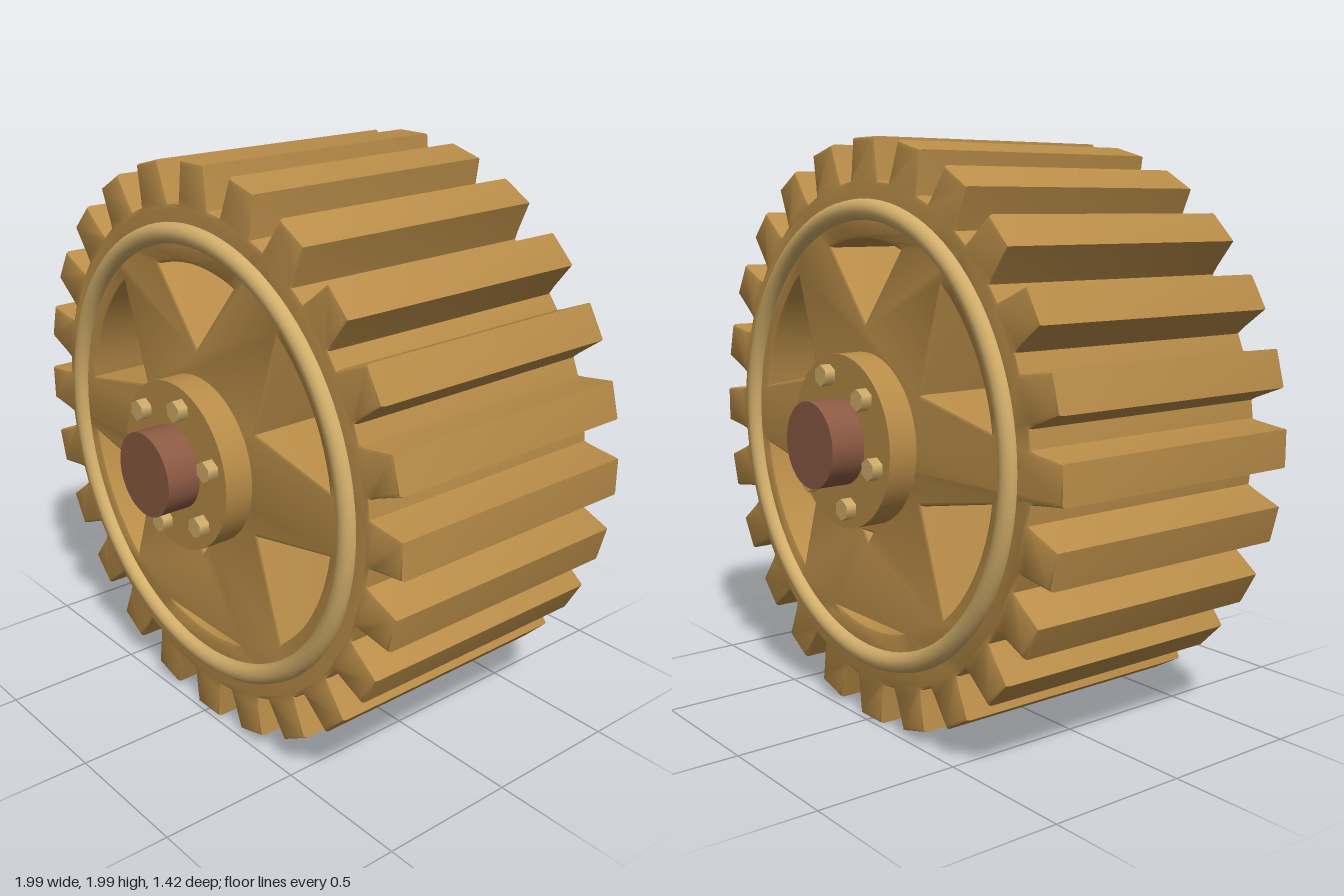
import * as THREE from 'three';
import { toCreasedNormals } from 'three/addons/utils/BufferGeometryUtils.js';

const HALF = 0.485; // half the gear's width
const TEETH = 24;

const material = (color) => new THREE.MeshStandardMaterial({ color });
const polar = (r, a) => new THREE.Vector2(r * Math.cos(a), r * Math.sin(a));

function add(parent, name, geometry, mat) {
  const mesh = new THREE.Mesh(geometry, mat);
  mesh.name = name;
  parent.add(mesh);
  return mesh;
}

// Closed outline with one trapezoid tooth per step
function gearOutline() {
  const points = [];
  for (let i = 0; i < TEETH; i++) {
    const a = (i / TEETH) * Math.PI * 2;
    points.push(polar(0.858, a - 0.096), polar(0.885, a - 0.087), polar(0.997, a - 0.064),
      polar(0.997, a + 0.064), polar(0.885, a + 0.087), polar(0.858, a + 0.096));
  }
  return points;
}

// Arc at radius r, spanning the given half width about an angle
function arcPoints(r, halfWidth, angle, steps = 12) {
  const span = Math.asin(halfWidth / r);
  return Array.from({ length: steps + 1 }, (_, i) => polar(r, angle - span + (2 * span * i) / steps));
}

// Window between two spokes: a point near the hub and an arc at the rim
function spokeWindow(angle, apex, halfWidth, r) {
  return new THREE.Path([polar(apex, angle), ...arcPoints(r, halfWidth, angle)]);
}

function gearBody() {
  const shape = new THREE.Shape(gearOutline());
  for (const degrees of [-30, 30, 150, 210]) {
    shape.holes.push(spokeWindow(THREE.MathUtils.degToRad(degrees), 0.362, 0.24, 0.68));
  }
  shape.holes.push(spokeWindow(Math.PI / 2, 0.39, 0.205, 0.665));
  // The bottom bay is closed apart from a slot at the rim and a notch by the hub
  shape.holes.push(new THREE.Path(arcPoints(0.665, 0.2, -Math.PI / 2)));
  shape.holes.push(new THREE.Path([
    new THREE.Vector2(-0.025, -0.325), new THREE.Vector2(0, -0.355), new THREE.Vector2(0.025, -0.325)]));
  const bevel = 0.014;
  const geometry = new THREE.ExtrudeGeometry(shape, {
    depth: 2 * (HALF - bevel), bevelThickness: bevel, bevelSize: bevel, bevelOffset: -bevel, bevelSegments: 2,
  });
  geometry.translate(0, 0, bevel - HALF);
  return toCreasedNormals(geometry, 0.6);
}

// Cylinder lying along z between two depths
function discGeometry(radius, z0, z1, sides) {
  return new THREE.CylinderGeometry(radius, radius, z1 - z0, sides)
    .rotateX(Math.PI / 2).translate(0, 0, (z0 + z1) / 2);
}

export function createModel() {
  const model = new THREE.Group();
  model.name = 'spokedGear';
  const wheel = new THREE.Group();
  wheel.name = 'wheel';
  wheel.position.y = 1;
  model.add(wheel);

  const bronze = material(0xb88c48);
  const brass = material(0xd2ae6a);
  const axleBrown = material(0x8c5a44);

  add(wheel, 'toothedWheel', gearBody(), bronze);
  add(wheel, 'axle', discGeometry(0.145, -0.708, 0.708, 40), axleBrown);

  // Rim ring, hub flange and bolts on both faces
  for (const side of [1, -1]) {
    const face = new THREE.Group();
    face.name = side > 0 ? 'frontFittings' : 'backFittings';
    wheel.add(face);

    add(face, 'rimRing', new THREE.TorusGeometry(0.762, 0.035, 14, 96), brass).position.z = side * HALF;
    const span = (a, b) => (side > 0 ? [a, b] : [-b, -a]);
    add(face, 'hubFlange', discGeometry(0.292, ...span(HALF - 0.02, 0.588), 56), bronze);
    for (let i = 0; i < 6; i++) {
      const p = polar(0.225, Math.PI / 12 + (i * Math.PI) / 3);
      add(face, 'bolt', discGeometry(0.037, ...span(0.57, 0.626), 6), brass).position.set(p.x, p.y, 0);
    }
  }
  return model;
}
